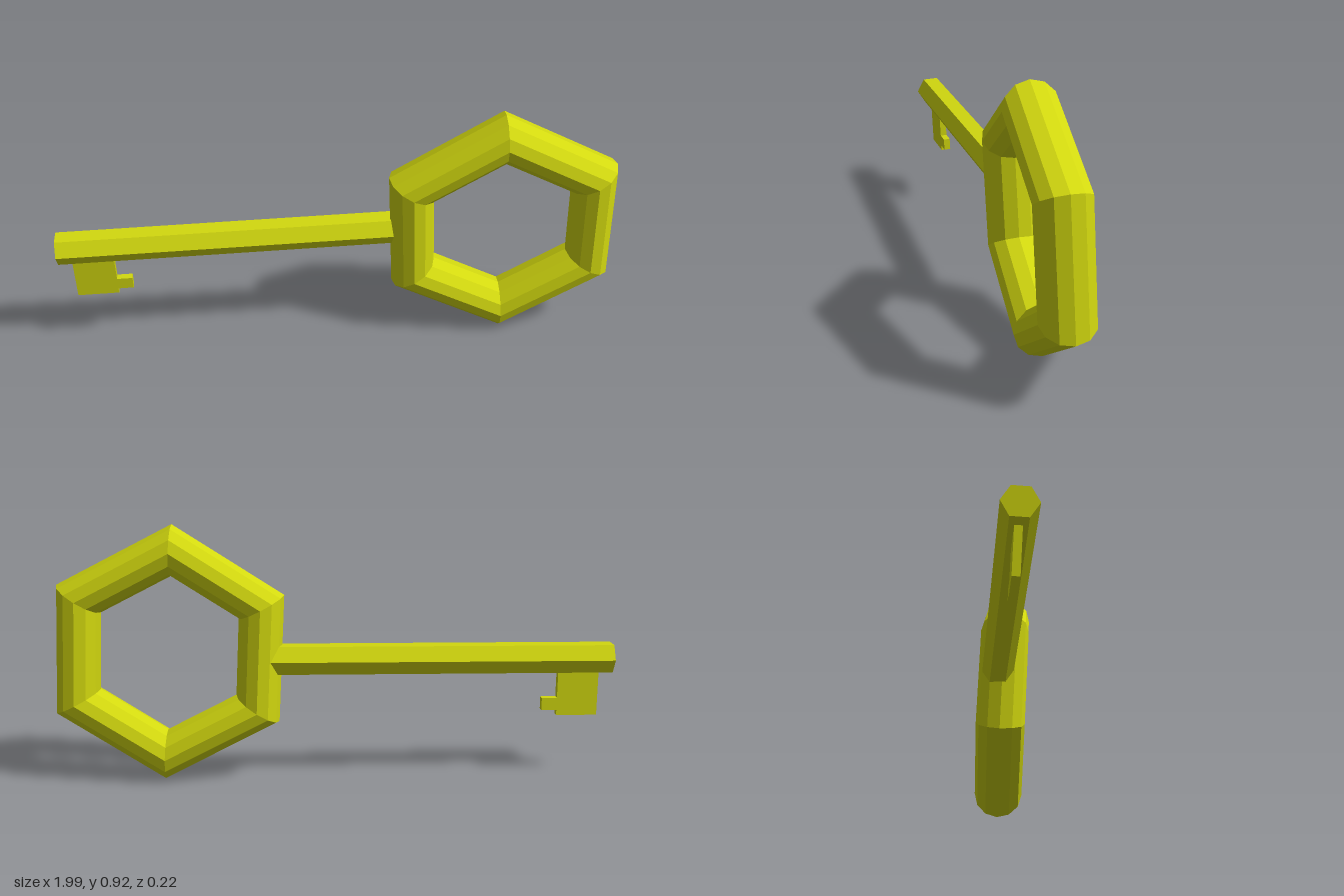
import * as THREE from 'three';

export function createModel() {
  const key = new THREE.Group();
  key.name = 'key';
  const brass = new THREE.MeshStandardMaterial({ color: 0xd2d80f, flatShading: true });
  brass.name = 'yellow brass';

  const add = (parent, name, geometry, x = 0, y = 0, z = 0) => {
    const mesh = new THREE.Mesh(geometry, brass);
    mesh.name = name;
    mesh.position.set(x, y, z);
    parent.add(mesh);
    return mesh;
  };

  // Six-sided bow, slightly tilted
  const bow = add(key, 'bow', new THREE.TorusGeometry(0.37, 0.091, 12, 6), 0.585, 0.465, 0);
  bow.rotation.set(0.046, -0.03, Math.PI / 6 + 0.048);

  // Shaft and bit share one frame that starts at the tip
  const blade = new THREE.Group();
  blade.name = 'blade';
  blade.position.set(-0.998, 0.437, -0.002);
  blade.rotation.set(0.046, 0.023, 0.009);
  key.add(blade);

  // Hexagonal shaft
  const length = 1.27;
  const shaft = new THREE.CylinderGeometry(0.058, 0.058, length, 6).rotateZ(Math.PI / 2);
  add(blade, 'shaft', shaft, length / 2, 0, 0);

  // Flat bit with a small tooth
  add(blade, 'bit', new THREE.BoxGeometry(0.147, 0.172, 0.025), 0.12, -0.126, 0);
  add(blade, 'tooth', new THREE.BoxGeometry(0.065, 0.045, 0.025), 0.216, -0.17, 0);

  return key;
}
